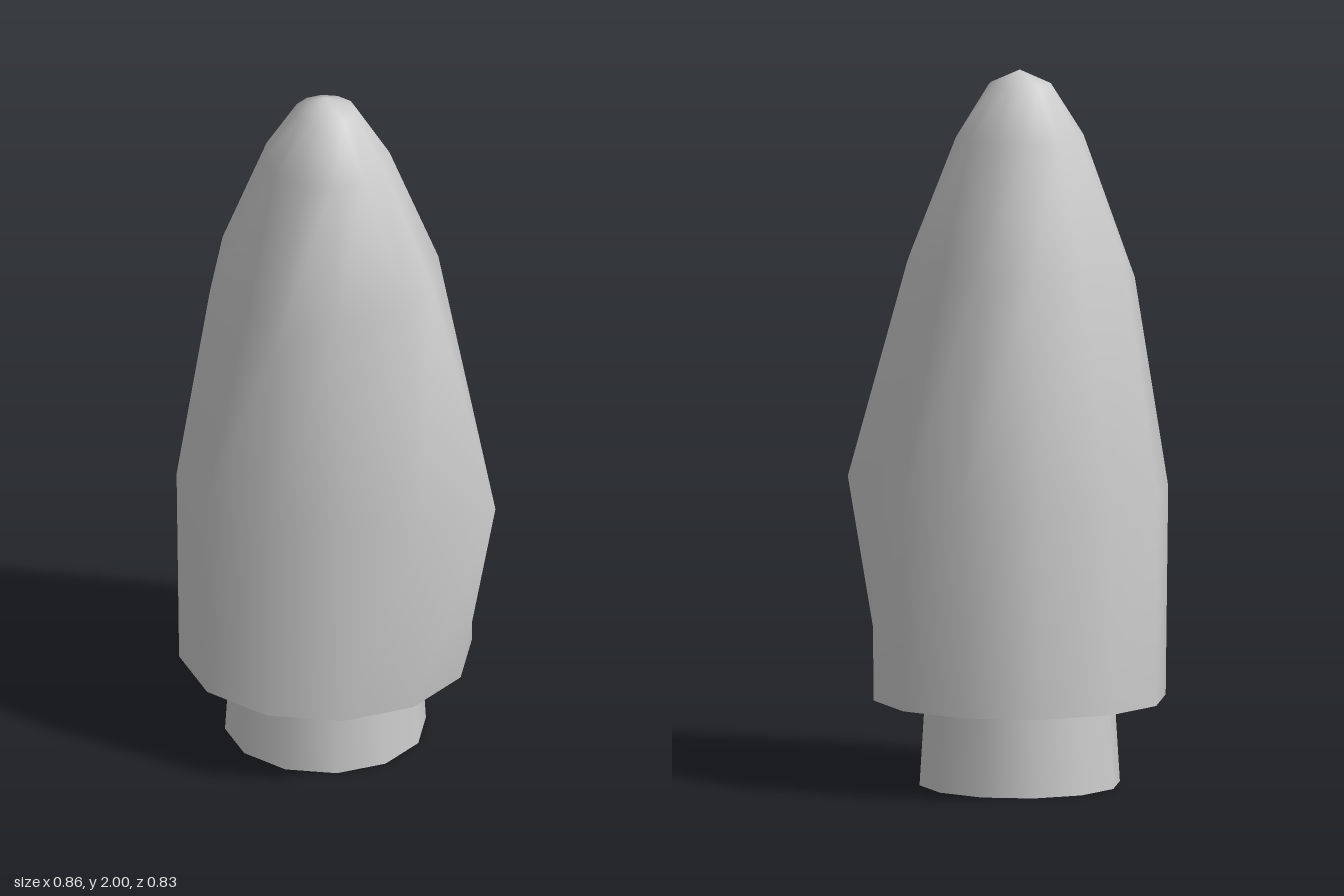
import * as THREE from 'three';

const SIDES = 12, CX = -0.015, CZ = 0.005;

// Regular ring of [x, y, z] points, from +x round through +z
function evenRing(y, r) {
  return Array.from({ length: SIDES }, (_, i) => {
    const a = (i / SIDES) * Math.PI * 2;
    return [CX + r * Math.cos(a), y, CZ + r * Math.sin(a)];
  });
}

// Smooth open-bottomed shell through rings, closed by an apex
function ringShell(rings, apexY) {
  const pos = [...rings.flat(2), CX, apexY, CZ], idx = [];
  const apex = rings.length * SIDES;
  for (let k = 0; k < rings.length; k++) {
    for (let i = 0; i < SIDES; i++) {
      const a = k * SIDES + i, b = k * SIDES + (i + 1) % SIDES;
      if (k === rings.length - 1) idx.push(a, apex, b);
      else idx.push(a, a + SIDES, b, b, a + SIDES, b + SIDES);
    }
  }
  const g = new THREE.BufferGeometry();
  g.setAttribute('position', new THREE.Float32BufferAttribute(pos, 3));
  g.setIndex(idx);
  g.computeVertexNormals();
  return g;
}

export function createModel() {
  const model = new THREE.Group();
  const material = new THREE.MeshStandardMaterial({ color: 0xcccccc, side: THREE.DoubleSide });

  // Widest ring of the crown, knocked slightly out of round
  const belly = [
    [0.4, 0], [0.425, 0.3], [0.2, 0.375], [-0.015, 0.387], [-0.22, 0.36], [-0.375, 0.21],
    [-0.43, 0.005], [-0.375, -0.2], [-0.22, -0.352], [-0.015, -0.415], [0.205, -0.395], [0.342, -0.2],
  ].map(([x, z]) => [x, 0.825, z]);

  // Uneven shoulder ring above it
  const shoulder = [
    [0.3, 1.47, 0], [0.265, 1.47, 0.18], [0.18, 1.49, 0.31], [-0.015, 1.45, 0.31],
    [-0.195, 1.36, 0.305], [-0.24, 1.45, 0.14], [-0.338, 1.41, 0.015], [-0.285, 1.49, -0.14],
    [-0.16, 1.44, -0.245], [-0.015, 1.45, -0.268], [0.13, 1.44, -0.24], [0.215, 1.45, -0.125],
  ];

  // Crown
  const crown = new THREE.Mesh(ringShell([
    evenRing(0.24, 0.408), belly, shoulder, evenRing(1.815, 0.178), evenRing(1.96, 0.087),
  ], 2), material);
  crown.name = 'crown';
  model.add(crown);

  // Trunk: open tapered tube reaching up inside the crown
  const trunk = new THREE.Mesh(new THREE.CylinderGeometry(0.243, 0.28, 0.6, SIDES, 1, true), material);
  trunk.name = 'trunk';
  trunk.position.set(CX, 0.3, CZ);
  model.add(trunk);

  return model;
}
